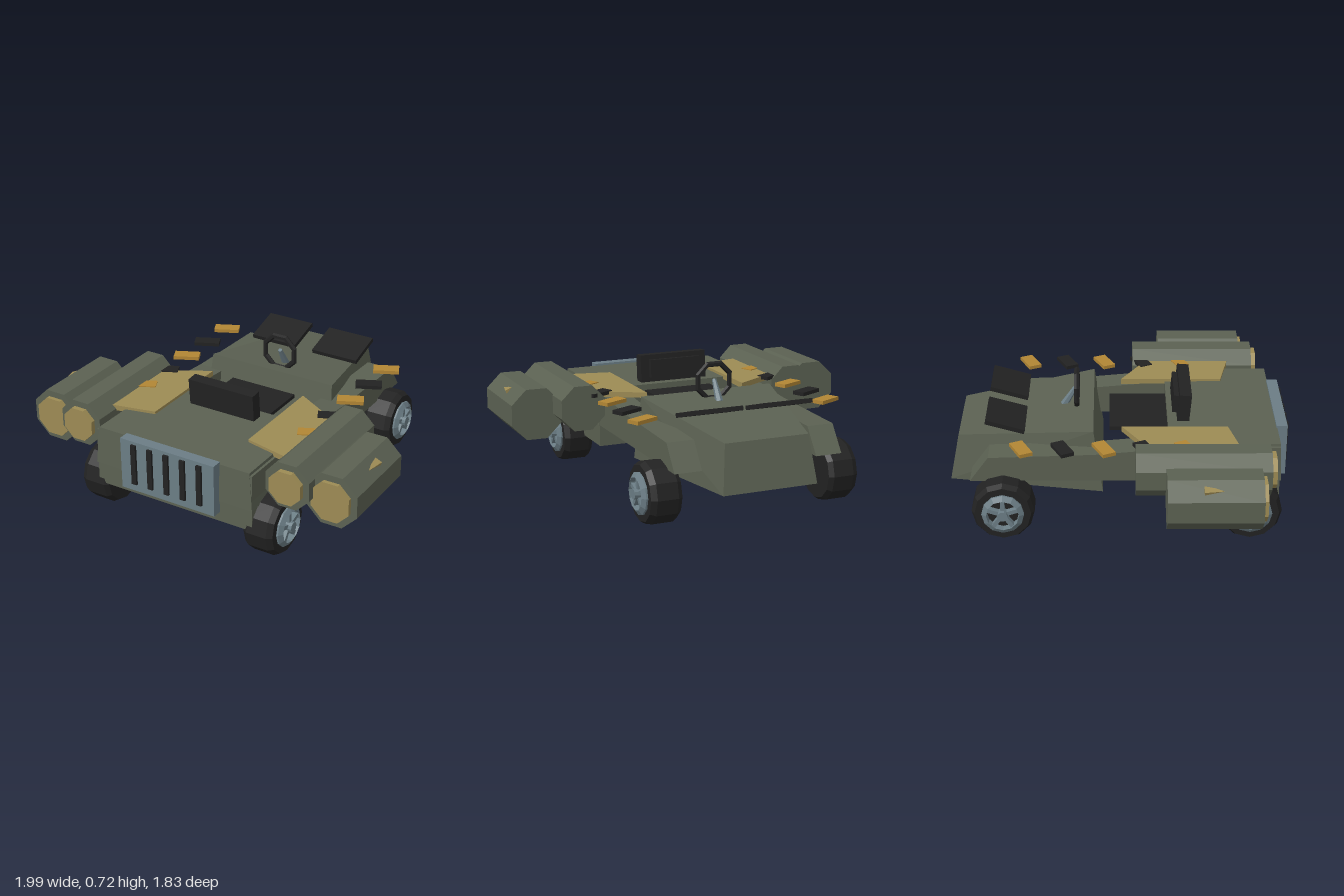
import * as THREE from 'three';
import { ConvexGeometry } from 'three/addons/geometries/ConvexGeometry.js';

const paint = (name, color) => {
  const m = new THREE.MeshStandardMaterial({ color });
  m.name = name;
  return m;
};

export function createModel() {
  const green = paint('olive green', 0x5b6152);
  const black = paint('black', 0x222222);
  const steel = paint('blue grey', 0x6b7d85);
  const tan = paint('tan', 0x9d8b54);
  const orange = paint('ochre', 0xb28634);
  const model = new THREE.Group();
  model.name = 'buggy';

  const add = (name, geo, mat, parent = model) => {
    // hard facets everywhere
    const g = geo.index ? geo.toNonIndexed() : geo;
    g.computeVertexNormals();
    const mesh = new THREE.Mesh(g, mat);
    mesh.name = name;
    parent.add(mesh);
    return mesh;
  };
  const box = (name, mat, size, pos, parent) => {
    const m = add(name, new THREE.BoxGeometry(...size), mat, parent);
    m.position.set(...pos);
    return m;
  };
  // closed solid from half-corners [x, y, z], mirrored across x = 0
  const hull = (name, mat, corners) => add(name, new ConvexGeometry(
    corners.flatMap(([x, y, z]) => [new THREE.Vector3(x, y, z), new THREE.Vector3(-x, y, z)])), mat);
  const shapeOf = (pts) => new THREE.Shape(pts.map((p) => new THREE.Vector2(...p)));

  // front body and its lower box
  hull('hood', green, [
    [0.48, 0.30, 0.86], [0.46, 0.51, 0.85], [0.48, 0.30, 0.265], [0.46, 0.51, 0.265],
  ]);
  box('lowerBody', green, [0.95, 0.13, 0.585], [0, 0.243, 0.56]);

  // tapered rear body
  hull('rearBody', green, [
    [0.41, 0.195, -0.085], [0.385, 0.545, -0.135],
    [0.265, 0.195, -0.915], [0.235, 0.45, -0.865],
  ]);

  // grille with five slots
  box('grille', steel, [0.57, 0.29, 0.06], [0, 0.377, 0.875]);
  for (let i = -2; i <= 2; i++) box('grilleSlot', black, [0.03, 0.23, 0.02], [i * 0.1, 0.39, 0.908]);

  // seat
  box('seatBase', black, [0.4, 0.02, 0.32], [0, 0.468, 0.11]);
  const seatBack = new THREE.Group();
  seatBack.name = 'seatBack';
  seatBack.position.set(0, 0.585, 0.35);
  seatBack.rotation.x = 0.08;
  model.add(seatBack);
  box('backrest', black, [0.4, 0.155, 0.065], [0, 0, 0.005], seatBack);
  box('backCushion', black, [0.3, 0.1, 0.03], [0, 0, -0.04], seatBack);

  // steering wheel and column
  const ring = add('steeringWheel', new THREE.TorusGeometry(0.1, 0.016, 6, 8), black);
  ring.position.set(0, 0.615, -0.228);
  ring.rotation.z = Math.PI / 8;
  const column = add('steeringColumn', new THREE.CylinderGeometry(0.012, 0.022, 0.13, 6), steel);
  column.position.set(0, 0.57, -0.265);
  column.rotation.x = 0.55;

  // rear deck plates
  for (const s of [-1, 1]) {
    const plate = box('deckPlate', black, [0.285, 0.024, 0.215], [s * 0.2, 0.55, -0.605]);
    plate.rotation.x = 0.28;
  }

  // side rails
  const railShape = shapeOf([[0.855, 0.3], [-0.79, 0.3], [-0.69, 0.438], [-0.135, 0.455], [0.265, 0.49], [0.85, 0.495]]);
  for (const s of [-1, 1]) {
    const rail = add('sideRail', new THREE.ExtrudeGeometry(railShape, { depth: 0.15, bevelEnabled: false }), green);
    rail.rotation.y = -Math.PI / 2;
    rail.position.x = s > 0 ? 0.475 : -0.325;
  }

  // tan side panels, shape drawn as x, -z
  for (const s of [-1, 1]) {
    const pts = [[0.29, -0.016], [0.29, -0.583], [0.57, -0.645], [0.57, -0.18]];
    const geo = new THREE.ExtrudeGeometry(shapeOf(pts.map(([x, y]) => [s * x, y])), { depth: 0.03, bevelEnabled: false });
    const panel = add('sidePanel', geo, tan);
    panel.rotation.x = -Math.PI / 2;
    panel.position.y = 0.495;
  }

  // alternating slanted strips on both sides
  for (const x of [-0.53, 0.53]) {
    for (let i = 0; i < 5; i++) {
      const strip = box('strip', i % 2 ? black : orange, [0.145, 0.02, 0.072], [x, 0.52, -0.51 + i * 0.215]);
      strip.rotation.y = 0.44;
    }
  }

  // eight-sided pods with tan front discs
  const pod = (s, x, y, r, z0, z1, lens, discR) => {
    const body = add('pod', new THREE.CylinderGeometry(r, r, z1 - z0, 8), green);
    body.rotation.set(Math.PI / 2, s * 0.4, 0);
    body.position.set(s * x, y, (z0 + z1) / 2);
    const disc = add('podDisc', new THREE.CylinderGeometry(discR, discR, lens, 8), tan);
    disc.rotation.copy(body.rotation);
    disc.position.set(s * x, y, z1 + lens / 2);
  };
  for (const s of [-1, 1]) {
    pod(s, 0.635, 0.455, 0.134, 0.085, 0.78, 0.028, 0.097);
    pod(s, 0.852, 0.41, 0.153, 0.238, 0.72, 0.022, 0.115);
    // small wedge marker on the outer pod
    const p = [[0.972, 0.515, 0.42], [0.935, 0.532, 0.42], [0.965, 0.496, 0.42], [0.945, 0.51, 0.55]];
    add('podWedge', new ConvexGeometry(p.map(([x, y, z]) => new THREE.Vector3(s * x, y, z))), tan);
  }

  // wheels: tyre, rim ring, five spokes and hub, built facing +x
  const wheel = (s, z) => {
    const g = new THREE.Group();
    g.name = 'wheel';
    const tyreProfile = [[0, -0.085], [0.15, -0.085], [0.167, -0.06], [0.167, 0.055], [0.15, 0.085], [0.113, 0.085], [0.11, 0.07], [0, 0.07]];
    const tyre = add('tyre', new THREE.LatheGeometry(tyreProfile.map((p) => new THREE.Vector2(...p)), 12), black, g);
    tyre.rotation.z = -Math.PI / 2;
    const rimProfile = [[0.085, 0.065], [0.113, 0.065], [0.113, 0.095], [0.087, 0.112], [0.085, 0.065]];
    const rim = add('rim', new THREE.LatheGeometry(rimProfile.map((p) => new THREE.Vector2(...p)), 12), steel, g);
    rim.rotation.z = -Math.PI / 2;
    for (let i = 0; i < 5; i++) {
      const arm = new THREE.Group();
      arm.name = 'spokeArm';
      arm.rotation.x = (i * Math.PI * 2) / 5;
      box('spoke', steel, [0.035, 0.09, 0.022], [0.085, 0.05, 0], arm);
      g.add(arm);
    }
    const hub = add('hub', new THREE.CylinderGeometry(0.028, 0.028, 0.055, 10), steel, g);
    hub.rotation.z = Math.PI / 2;
    hub.position.x = 0.095;
    g.position.set(s * 0.505, 0.167, z);
    if (s < 0) g.rotation.y = Math.PI;
    model.add(g);
  };
  for (const s of [-1, 1]) for (const z of [0.695, -0.613]) wheel(s, z);

  return model;
}
